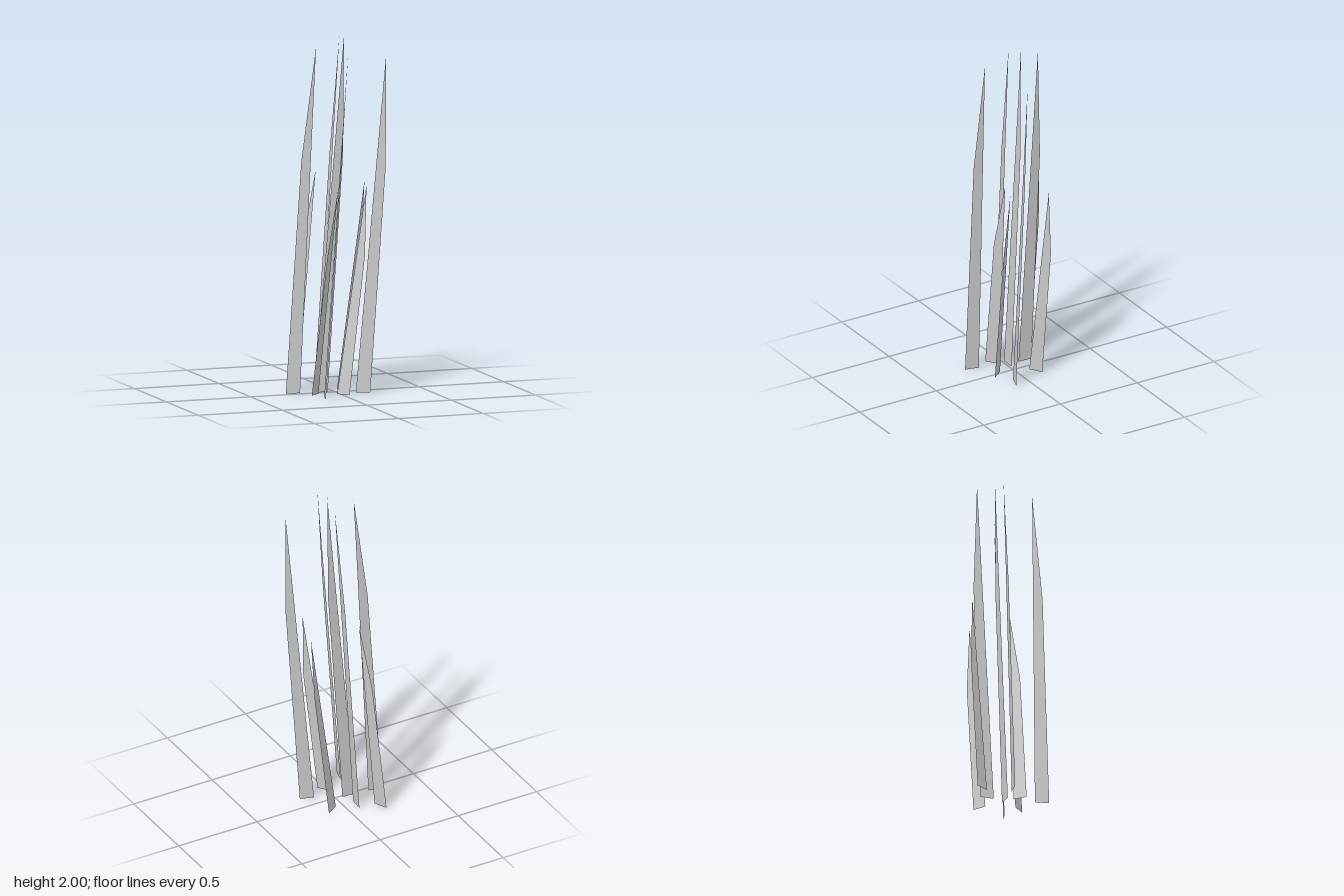
import * as THREE from 'three';

const LEAN = 0.137;       // sideways drift of every tip
const HALF_WIDTH = 0.04;  // half the width of a blade's foot
const SHOULDER = 2 / 3;   // height fraction where the blade starts to taper

// Foot centre x, z, height, and heading of the shouldered edge in degrees
const BLADES = [
  [-0.178, -0.195, 1.22, -116.5],
  [-0.067, -0.118, 1.97, -86],
  [0.076, -0.101, 1.16, -32],
  [-0.237, -0.032, 1.94, -170],
  [-0.078, -0.014, 2.0, 0],
  [-0.137, 0.052, 1.15, 138],
  [0.138, 0.075, 1.89, 19],
  [0.009, 0.108, 1.17, 52],
  [-0.130, 0.188, 1.93, 104.5],
];

// One flat leaning blade: foot edge, shoulder on one side, pointed tip
function bladeGeometry(height, degrees) {
  const a = THREE.MathUtils.degToRad(degrees);
  const dx = HALF_WIDTH * Math.cos(a);
  const dz = HALF_WIDTH * Math.sin(a);
  const plain = [-dx, 0, -dz];
  const edge = [dx, 0, dz];
  const shoulder = [dx + LEAN * SHOULDER, height * SHOULDER, dz];
  const tip = [LEAN, height, 0];
  const geometry = new THREE.BufferGeometry();
  geometry.setAttribute('position', new THREE.Float32BufferAttribute(
    [plain, edge, shoulder, plain, shoulder, tip].flat(), 3));
  geometry.computeVertexNormals();
  return geometry;
}

export function createModel() {
  const group = new THREE.Group();
  group.name = 'grassTuft';
  const material = new THREE.MeshStandardMaterial({
    color: 0xcccccc, side: THREE.DoubleSide, flatShading: true,
  });
  BLADES.forEach(([x, z, height, degrees], i) => {
    const blade = new THREE.Mesh(bladeGeometry(height, degrees), material);
    blade.name = `grassBlade${i + 1}`;
    blade.position.set(x, 0, z);
    group.add(blade);
  });
  return group;
}
